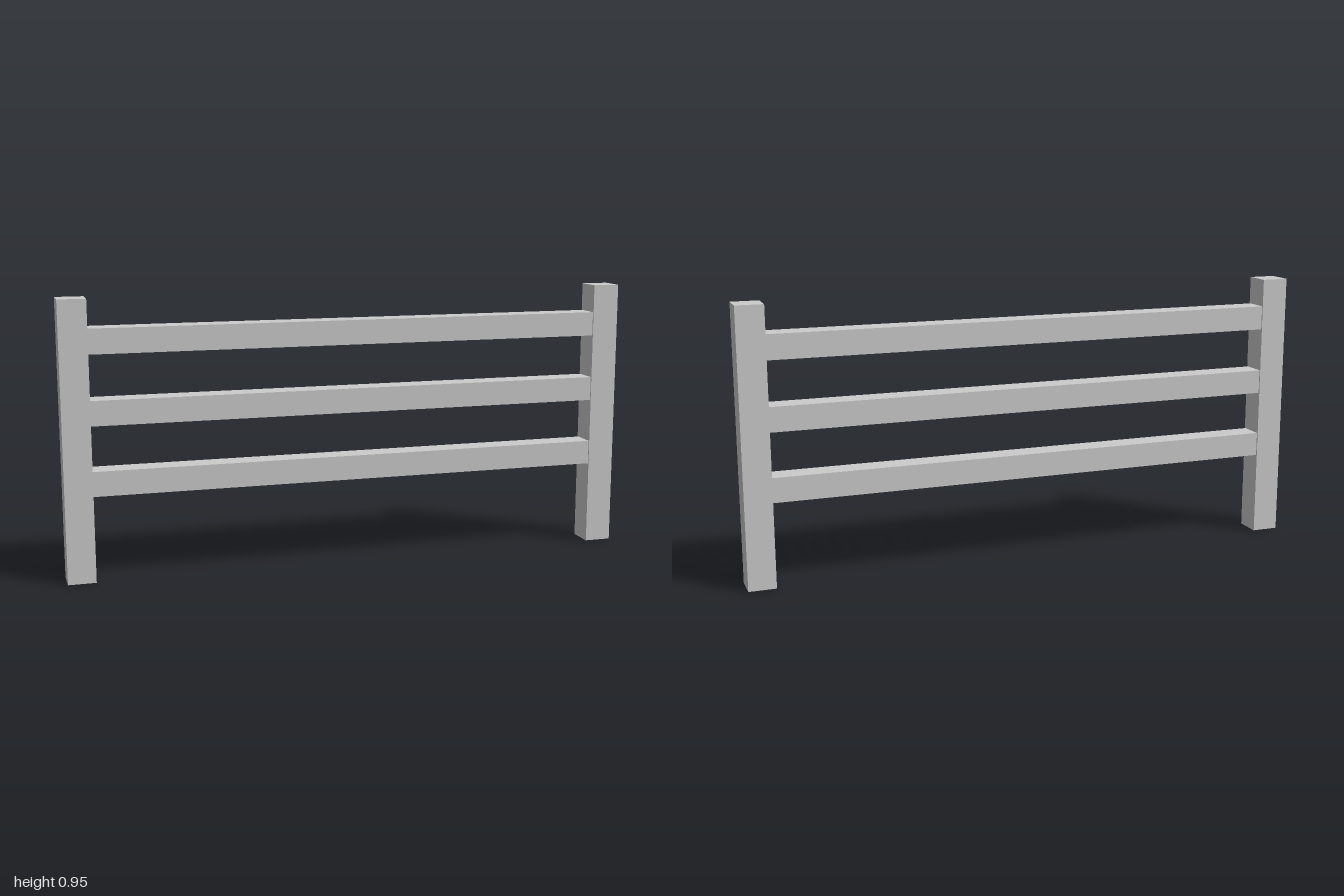
import * as THREE from 'three';

const material = new THREE.MeshStandardMaterial({ color: 0xcccccc, flatShading: true, side: THREE.DoubleSide });

// Box without the listed sides (0 +x, 1 -x, 2 +y, 3 -y, 4 +z, 5 -z)
function openBox(name, w, h, d, x, y, openSides) {
  const geometry = new THREE.BoxGeometry(w, h, d);
  const index = Array.from(geometry.index.array);
  geometry.setIndex(index.filter((_, i) => !openSides.includes(Math.floor(i / 6))));
  geometry.clearGroups();
  const mesh = new THREE.Mesh(geometry, material);
  mesh.name = name;
  mesh.position.set(x, y, 0);
  return mesh;
}

export function createModel() {
  const fence = new THREE.Group();
  fence.name = 'fence';
  const height = 0.953, post = 0.095, rail = 0.085;

  // Square posts, open at the foot
  for (const side of [-1, 1]) {
    const name = side > 0 ? 'leftPost' : 'rightPost';
    fence.add(openBox(name, post, height, post, side * (1 - post / 2), height / 2, [3]));
  }

  // Rails butted between the posts
  ['lowerRail', 'middleRail', 'upperRail'].forEach((name, i) => {
    fence.add(openBox(name, 2 - 2 * post, rail, rail, 0, 0.337 + i * 0.238, [0, 1]));
  });
  return fence;
}
